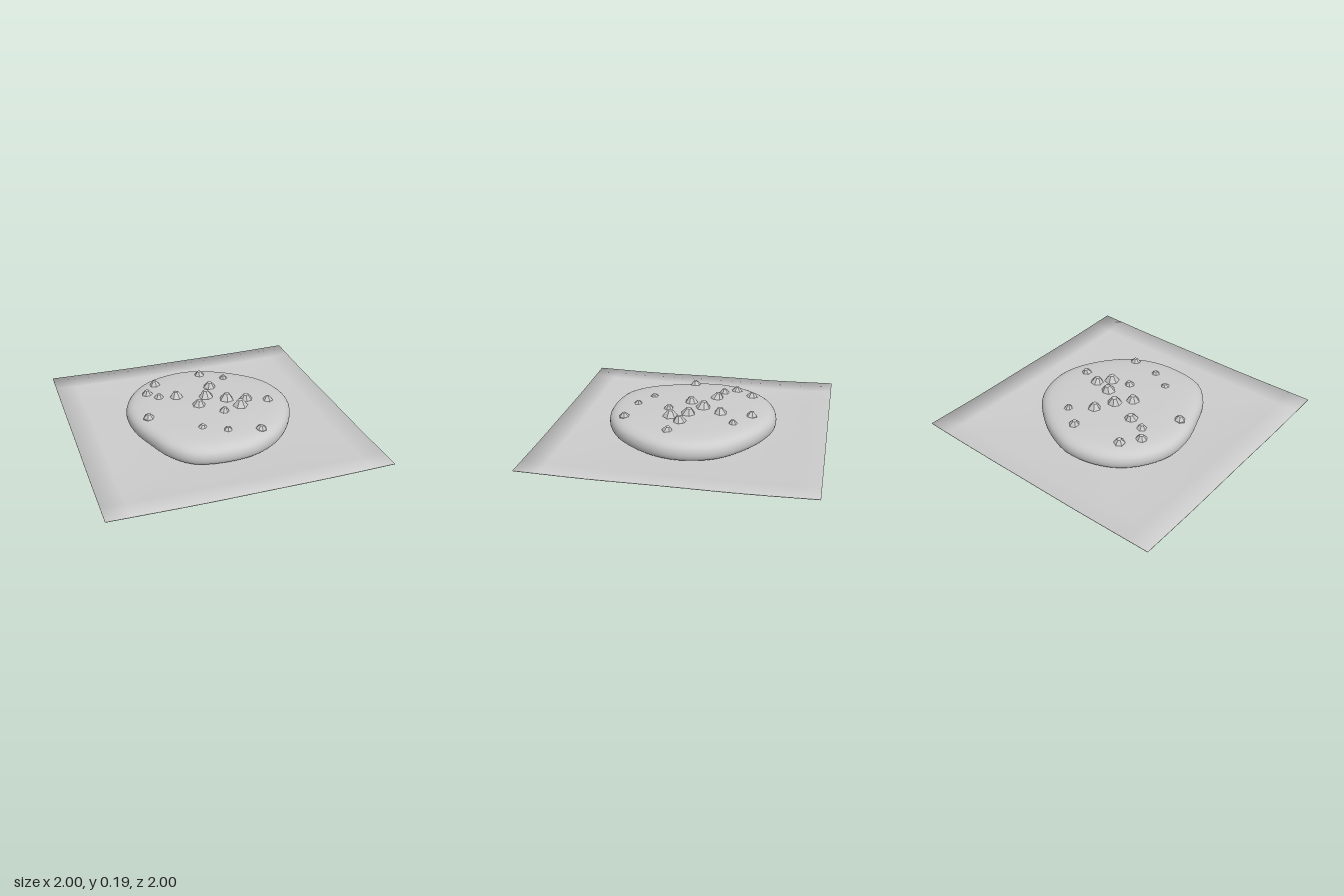
import * as THREE from 'three';
import { mergeVertices } from 'three/addons/utils/BufferGeometryUtils.js';

const grey = new THREE.MeshStandardMaterial({ color: 0xcccccc });
grey.name = 'plain grey';
const greyFaceted = grey.clone();
greyFaceted.flatShading = true;

// Thin square sheet, curled up at its rim, with softly rounded edge shading
function makePaper() {
  const side = 1.683, half = side / 2, thick = 0.004;
  let geo = new THREE.BoxGeometry(side, thick, side, 12, 1, 12);
  geo.deleteAttribute('normal');
  geo.deleteAttribute('uv');
  geo = mergeVertices(geo);
  const p = geo.attributes.position;
  const isTop = [];
  for (let i = 0; i < p.count; i++) {
    const u = p.getX(i) / half, v = p.getZ(i) / half;
    isTop.push(p.getY(i) > 0);
    const rim = Math.max(Math.abs(u), Math.abs(v));
    const wave = 0.003 * Math.sin(u * 6 + 1) * Math.cos(v * 5);
    const y = 0.007 + 0.024 * rim ** 3 + 0.009 * (u * v) ** 2 + wave * rim * (1 - (u * v) ** 2);
    p.setY(i, p.getY(i) + y);
  }
  geo.computeVertexNormals();
  const n = geo.attributes.normal;
  const outward = (c) => (Math.abs(c) > half - 0.001 ? Math.sign(c) : 0);
  for (let i = 0; i < p.count; i++) {
    const ox = outward(p.getX(i)), oz = outward(p.getZ(i));
    if (!ox && !oz) continue;
    const d = new THREE.Vector3(ox, isTop[i] ? 1 : -1, oz).normalize();
    n.setXYZ(i, d.x, d.y, d.z);
  }
  const paper = new THREE.Mesh(geo, grey);
  paper.name = 'paperSheet';
  paper.rotation.y = 0.2125;
  return paper;
}

// Uneven round cookie: one outline repeated along a rounded height profile
function makeCookie() {
  const outline = [
    [0.52, -0.03], [0.48, 0.15], [0.38, 0.33], [0.22, 0.46], [0, 0.52], [-0.15, 0.51],
    [-0.28, 0.42], [-0.38, 0.28], [-0.47, 0.12], [-0.51, -0.05], [-0.48, -0.22], [-0.4, -0.36],
    [-0.27, -0.46], [-0.1, -0.515], [0.05, -0.505], [0.2, -0.46], [0.4, -0.34], [0.5, -0.17],
  ].map(([x, z]) => new THREE.Vector3(x, 0, z));
  const sides = 60;
  const ring = new THREE.CatmullRomCurve3(outline, true).getSpacedPoints(sides).slice(0, sides);
  // [scale, height] from the centre underneath to the centre on top
  const profile = new THREE.CatmullRomCurve3([
    [0, 0.012], [0.6, 0.012], [0.95, 0.02], [0.99, 0.04], [1, 0.07], [0.985, 0.1],
    [0.93, 0.125], [0.83, 0.138], [0.65, 0.145], [0.35, 0.149], [0, 0.15],
  ].map(([s, y]) => new THREE.Vector3(s, y, 0))).getPoints(30);
  const pos = [], index = [];
  for (const { x: s, y } of profile) for (const r of ring) pos.push(r.x * s, y, r.z * s);
  for (let j = 0; j < profile.length - 1; j++) {
    for (let i = 0; i < sides; i++) {
      const k = (i + 1) % sides;
      const a = j * sides + i, b = j * sides + k, c = a + sides, d = b + sides;
      index.push(a, c, b, b, c, d);
    }
  }
  let geo = new THREE.BufferGeometry();
  geo.setAttribute('position', new THREE.Float32BufferAttribute(pos, 3));
  geo.setIndex(index);
  geo = mergeVertices(geo, 1e-5);
  geo.computeVertexNormals();
  const cookie = new THREE.Mesh(geo, grey);
  cookie.name = 'cookie';
  return cookie;
}

// Faceted chocolate chips: [x, z, radius, top height]
const CHIPS = [
  [-0.015, -0.39, 0.034, 0.172], [0.135, -0.325, 0.028, 0.168], [-0.315, -0.285, 0.035, 0.17],
  [-0.37, -0.165, 0.035, 0.17], [-0.3, -0.105, 0.035, 0.172], [-0.19, -0.095, 0.043, 0.186],
  [0.03, -0.205, 0.042, 0.186], [-0.005, -0.075, 0.046, 0.195], [0.118, -0.027, 0.046, 0.192],
  [0.24, -0.025, 0.042, 0.186], [0.375, -0.005, 0.034, 0.17], [-0.06, 0.025, 0.043, 0.188],
  [0.193, 0.058, 0.047, 0.193], [0.085, 0.118, 0.035, 0.176], [-0.375, 0.13, 0.034, 0.168],
  [-0.065, 0.285, 0.034, 0.163], [0.08, 0.33, 0.03, 0.165], [0.278, 0.325, 0.032, 0.162],
];

function makeChips() {
  const chips = new THREE.Group();
  chips.name = 'chocolateChips';
  CHIPS.forEach(([x, z, r, top], i) => {
    const base = 0.125, h = top - base;
    const profile = [[0, 0], [r, 0], [r, h * 0.35], [r * 0.38, h * 0.93], [0, h]]
      .map(([a, b]) => new THREE.Vector2(a, b));
    const chip = new THREE.Mesh(new THREE.LatheGeometry(profile, 6 + (i % 2)), greyFaceted);
    chip.name = 'chip';
    chip.position.set(x, base, z);
    chip.rotation.set(0.1 * Math.sin(i * 2.3), i * 1.7, 0.1 * Math.cos(i * 1.9));
    chips.add(chip);
  });
  return chips;
}

export function createModel() {
  const model = new THREE.Group();
  model.name = 'cookieOnPaper';
  model.add(makePaper(), makeCookie(), makeChips());
  return model;
}
